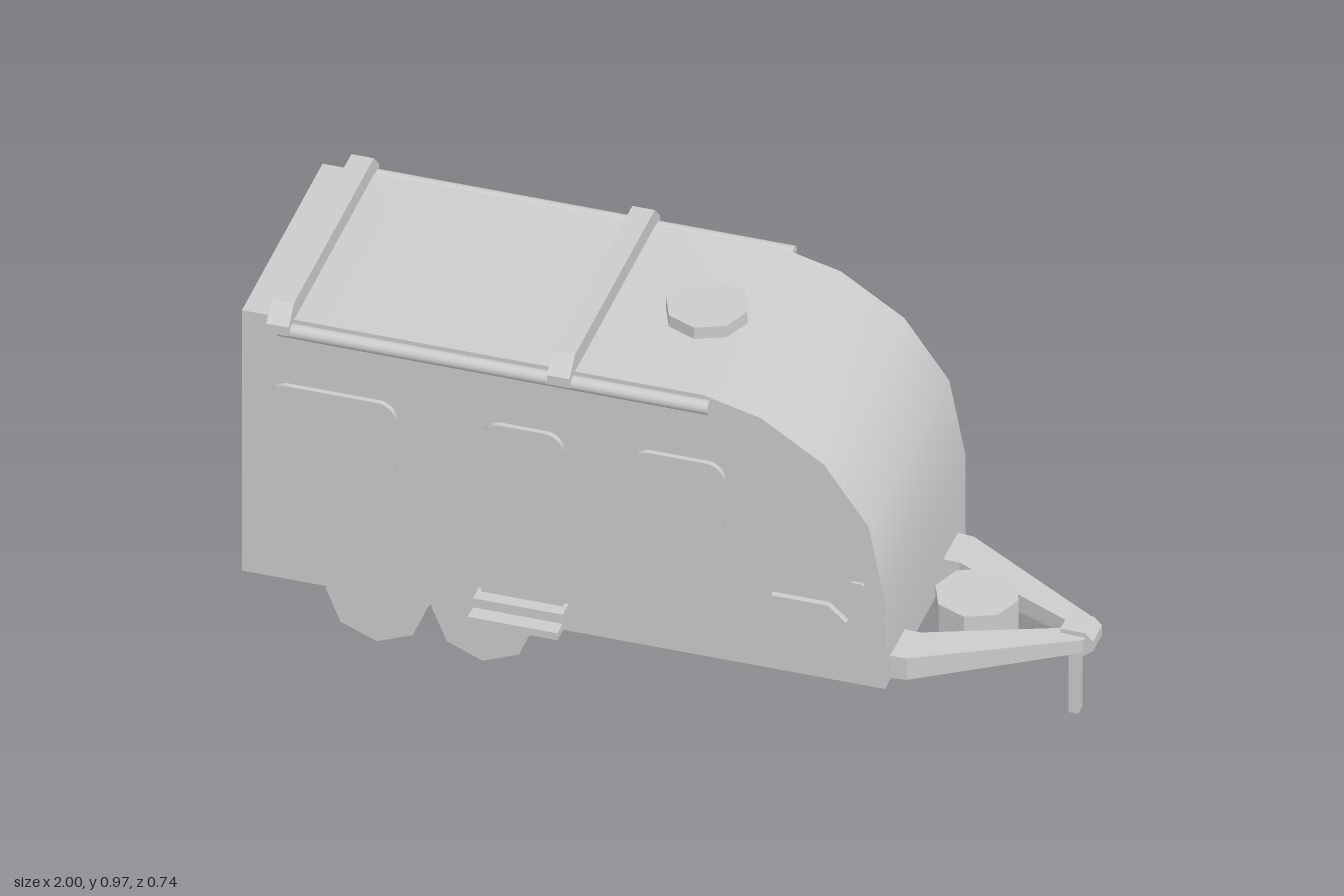
import * as THREE from 'three';
import { toCreasedNormals } from 'three/addons/utils/BufferGeometryUtils.js';

const MID = -0.025;   // centre plane of the cabin
const HALF = 0.31;    // half width of the cabin
const HITCH = -0.015; // centre plane of the tow frame

export function createModel() {
  const model = new THREE.Group();
  const smooth = new THREE.MeshStandardMaterial({ color: 0xcccccc });
  const flat = new THREE.MeshStandardMaterial({ color: 0xcccccc, flatShading: true });

  const add = (name, geometry, x = 0, y = 0, z = 0, material = flat) => {
    const mesh = new THREE.Mesh(geometry, material);
    mesh.name = name;
    mesh.position.set(x, y, z);
    model.add(mesh);
    return mesh;
  };
  // Box given by its limits on each axis
  const box = (name, [x0, x1], [y0, y1], [z0, z1]) =>
    add(name, new THREE.BoxGeometry(x1 - x0, y1 - y0, z1 - z0), (x0 + x1) / 2, (y0 + y1) / 2, (z0 + z1) / 2);
  const polygon = (points) => new THREE.Shape(points.map(([x, y]) => new THREE.Vector2(x, y)));
  const extrude = (shape, depth) => {
    const g = new THREE.ExtrudeGeometry(shape, { depth, bevelEnabled: false, curveSegments: 5 });
    return g.translate(0, 0, -depth / 2);
  };
  const roundedRect = (x0, x1, y0, y1, r) => {
    const s = new THREE.Shape();
    s.absarc(x1 - r, y1 - r, r, 0, Math.PI / 2);
    s.absarc(x0 + r, y1 - r, r, Math.PI / 2, Math.PI);
    s.absarc(x0 + r, y0 + r, r, Math.PI, Math.PI * 1.5);
    s.absarc(x1 - r, y0 + r, r, Math.PI * 1.5, Math.PI * 2);
    return s;
  };

  // Cabin with rounded nose
  const cabin = polygon([[-1, 0.18], [0.575, 0.18], [0.575, 0.43], [0.535, 0.635],
    [0.425, 0.79], [0.27, 0.89], [0.13, 0.925], [-1, 0.925]]);
  add('cabin', toCreasedNormals(extrude(cabin, HALF * 2), 0.6), 0, 0, MID, smooth);

  // Parts on both sides
  const hatch = polygon([[0.3, 0.27], [0.44, 0.27], [0.485, 0.31], [0.485, 0.36],
    [0.44, 0.4], [0.3, 0.4], [0.255, 0.36], [0.255, 0.31]]);
  for (const side of [1, -1]) {
    const wall = MID + side * HALF;
    const label = side > 0 ? 'Front' : 'Back';
    const panel = (name, shape, out) =>
      add(name + label, extrude(shape, out * 2), 0, 0, wall);
    panel('rearWindow', roundedRect(-0.93, -0.62, 0.53, 0.74, 0.045), 0.013);
    panel('noseWindow', roundedRect(-0.045, 0.185, 0.53, 0.74, 0.045), 0.013);
    panel('storageHatch', hatch, 0.016);
    panel('markerLight', roundedRect(0.49, 0.525, 0.45, 0.472, 0.008), 0.008);

    // Roof rail
    const rail = new THREE.CylinderGeometry(0.018, 0.018, 1.055, 12).rotateZ(Math.PI / 2);
    add('roofRail' + label, rail, -0.377, 0.905, wall + side * 0.017, smooth);

    // Twin wheels, sitting just inside the wall line
    for (const x of [-0.67, -0.41]) {
      const wheel = new THREE.CylinderGeometry(0.125, 0.125, 0.09, 8).rotateX(Math.PI / 2);
      add('wheel' + label, wheel, x, 0.173, wall - side * 0.046);
    }
  }

  // Door and entry steps
  add('door', extrude(roundedRect(-0.41, -0.21, 0.215, 0.74, 0.045), 0.026), 0, 0, MID + HALF);
  box('upperStep', [-0.42, -0.2], [0.23, 0.256], [0.28, 0.33]);
  box('lowerStep', [-0.42, -0.2], [0.21, 0.23], [0.28, 0.37]);

  // Roof crossbars with down-turned ends
  const bar = polygon([[-0.348, 0.905], [-0.348, 0.93], [-0.307, 0.972], [0.307, 0.972],
    [0.348, 0.93], [0.348, 0.905], [0.308, 0.905], [0.308, 0.92], [-0.308, 0.92], [-0.308, 0.905]]);
  for (const x of [-0.9, -0.212]) {
    add('roofCrossbar', extrude(bar, 0.055).rotateY(Math.PI / 2), x, 0, -0.022);
  }

  // Roof vent
  add('roofVent', new THREE.CylinderGeometry(0.1, 0.1, 0.042, 8), 0.04, 0.936, MID);

  // Tow frame arms, thinning toward the coupler
  for (const side of [1, -1]) {
    const plan = [[0.56, 0.262], [0.615, 0.258], [0.98, 0.045], [0.98, 0.005], [0.92, 0.015],
      [0.615, 0.148], [0.56, 0.148]].map(([x, z]) => [x, z * side]);
    const arm = extrude(polygon(plan), 1).rotateX(-Math.PI / 2);
    const p = arm.attributes.position;
    for (let i = 0; i < p.count; i++) {
      const t = THREE.MathUtils.clamp((p.getX(i) - 0.575) / 0.4, 0, 1);
      p.setY(i, 0.217 + p.getY(i) * THREE.MathUtils.lerp(0.064, 0.036, t));
    }
    add('towArm', arm, 0, 0, HITCH);
  }
  box('towCrossMember', [0.68, 0.715], [0.175, 0.19], [-0.17, 0.145]);

  // Gas bottle on the tow frame
  add('gasBottle', new THREE.CylinderGeometry(0.102, 0.102, 0.092, 8), 0.705, 0.235, HITCH);

  // Coupler and jockey leg
  const coupler = polygon([[0.92, 0.2], [0.935, 0.178], [0.972, 0.178], [1, 0.2],
    [1, 0.227], [0.98, 0.248], [0.92, 0.248]]);
  add('coupler', extrude(coupler, 0.07), 0, 0, HITCH);
  box('jockeyLeg', [0.934, 0.958], [0, 0.2], [-0.032, 0.002]);

  return model;
}
